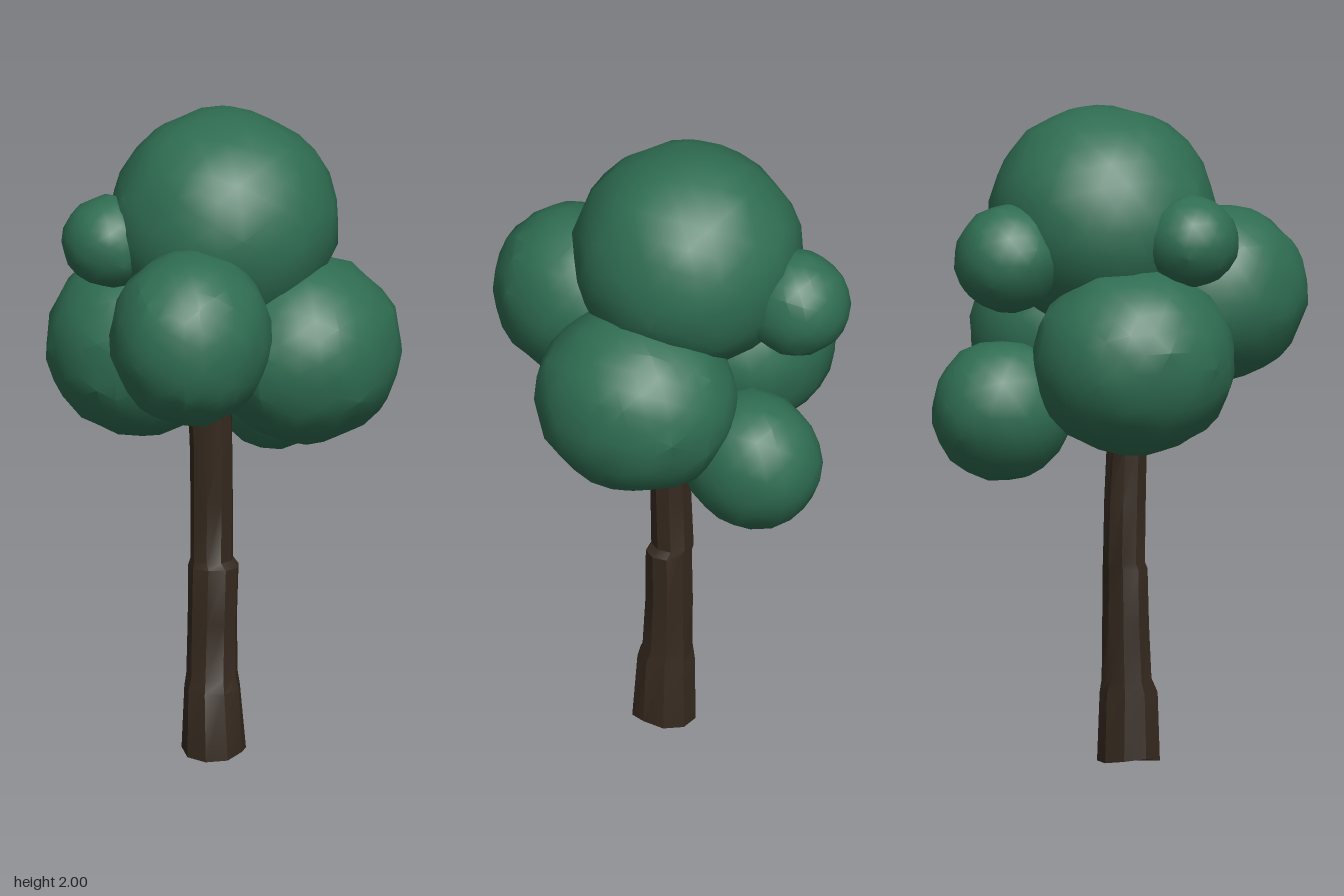
import * as THREE from 'three';
import { toCreasedNormals } from 'three/addons/utils/BufferGeometryUtils.js';

const leafGreen = new THREE.MeshStandardMaterial({ color: 0x2f6d52 });
leafGreen.name = 'leafGreen';
const barkBrown = new THREE.MeshStandardMaterial({ color: 0x35291f });
barkBrown.name = 'barkBrown';

// Repeatable value in 0..1 from a position, so shared corners move together
function noise(x, y, z, seed) {
  const q = (v) => Math.round(v * 1000);
  const s = Math.sin(q(x) * 0.1271 + q(y) * 0.3117 + q(z) * 0.0747 + seed * 17.3) * 43758.5453;
  return s - Math.floor(s);
}

// Name, centre and radii of each clump of leaves
const clumps = [
  ['crownClump', [-0.005, 1.655, -0.075], [0.35, 0.345, 0.35]],
  ['frontClump', [0, 1.405, 0.31], [0.245, 0.268, 0.27]],
  ['leftClump', [0.255, 1.28, -0.065], [0.292, 0.288, 0.315]],
  ['rightClump', [-0.26, 1.255, -0.08], [0.292, 0.288, 0.31]],
  ['upperRightClump', [-0.315, 1.615, 0.085], [0.145, 0.14, 0.145]],
  ['upperBackClump', [-0.085, 1.56, -0.415], [0.16, 0.165, 0.168]],
  ['lowerBackClump', [0.08, 1.075, -0.365], [0.195, 0.215, 0.22]],
];

// A lumpy, softly faceted ball
function leafClump([name, centre, radii], seed) {
  const geo = new THREE.IcosahedronGeometry(1, radii[0] > 0.2 ? 4 : 3);
  const pos = geo.attributes.position;
  const v = new THREE.Vector3();
  for (let i = 0; i < pos.count; i++) {
    v.fromBufferAttribute(pos, i);
    const swell = 0.012 * Math.sin(5 * v.x + seed) * Math.cos(4 * v.y - 3 * v.z + seed);
    const r = 0.97 + 0.042 * noise(v.x, v.y, v.z, seed) + swell;
    pos.setXYZ(i, v.x * r * radii[0], v.y * r * radii[1], v.z * r * radii[2]);
  }
  const mesh = new THREE.Mesh(toCreasedNormals(geo, 0.5), leafGreen);
  mesh.name = name;
  mesh.position.set(...centre);
  return mesh;
}

// Trunk rings from top to bottom: height, centre x, radius x, centre z, radius z
const rings = [
  [1.35, -0.02, 0.07, 0, 0.06],
  [1.14, -0.028, 0.07, 0, 0.058],
  [0.98, -0.02, 0.066, 0, 0.058],
  [0.8, -0.02, 0.066, -0.006, 0.062],
  [0.61, -0.022, 0.066, -0.01, 0.064],
  [0.59, -0.014, 0.077, -0.006, 0.067],
  [0.42, -0.017, 0.077, -0.004, 0.07],
  [0.25, -0.018, 0.078, 0.002, 0.076],
  [0.21, -0.015, 0.085, 0.008, 0.088],
  [0.02, -0.01, 0.096, 0.008, 0.098],
];

function buildTrunk() {
  const last = rings.length - 1;
  const geo = new THREE.CylinderGeometry(1, 1, 1, 9, last);
  const pos = geo.attributes.position;
  for (let i = 0; i < pos.count; i++) {
    const x = pos.getX(i), z = pos.getZ(i);
    const row = Math.round((0.5 - pos.getY(i)) * last);
    const [y, cx, rx, cz, rz] = rings[row];
    const r = 0.96 + 0.08 * noise(x, row, z, 3);
    // The cut base bulges down slightly at its middle and front
    const dip = row === last ? 0.02 * (Math.hypot(x, z) < 0.1 ? 1 : Math.abs(z)) : 0;
    pos.setXYZ(i, cx + x * rx * r, y - dip, cz + z * rz * r);
  }
  const mesh = new THREE.Mesh(toCreasedNormals(geo, 0.6), barkBrown);
  mesh.name = 'trunk';
  return mesh;
}

export function createModel() {
  const tree = new THREE.Group();
  tree.name = 'tree';
  tree.add(buildTrunk());
  const foliage = new THREE.Group();
  foliage.name = 'foliage';
  clumps.forEach((clump, i) => foliage.add(leafClump(clump, i + 1)));
  tree.add(foliage);
  return tree;
}
